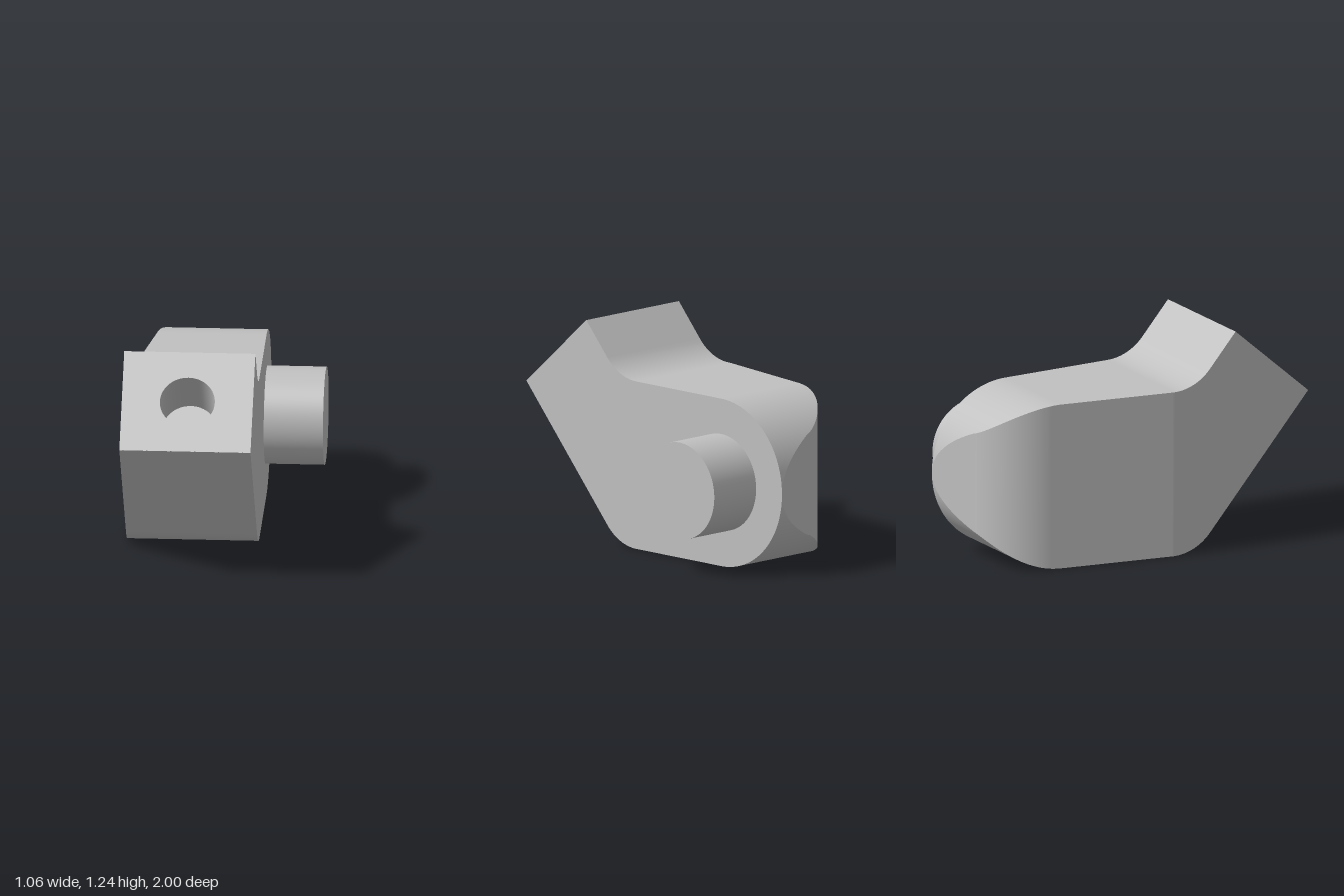
import * as THREE from 'three';

const RIGHT = 0.2, LEFT = -0.53;   // flat side planes of the arm
const R = 0.475, PIVOT_Z = -0.525; // rounded back end
const SLOPE = 1.147, TIP_Z = 0.53; // raised nose

// Rise of the nose along z: flat, fillet, then a straight slope
function rise(z) {
  if (z <= 0.14) return 0;
  if (z < 0.365) return 0.3 - Math.sqrt(0.09 - (z - 0.14) ** 2);
  return SLOPE * (z - 0.276);
}
const roundEnd = z => Math.sqrt(Math.max(0, R * R - Math.min(0, z - PIVOT_Z) ** 2));
const bottom = z => R - roundEnd(z) + rise(z);
const top = z => z > TIP_Z ? 1.24 - (z - TIP_Z) * 0.872 : R + roundEnd(z) + rise(z);

// Left side: straight, taper, rounded corner, then a steep run to the back edge
function left(z) {
  if (z >= 0.13) return LEFT;
  if (z >= -0.584) return LEFT + (0.13 - z) * 0.185;
  if (z >= -0.9) return 0.005 - Math.sqrt(0.41 ** 2 - (z + 0.509) ** 2);
  return RIGHT - (z + 1) * 3.12;
}

// Stations along z, finer around the curves
function stations() {
  const zs = [-0.9, -0.584, 0, 0.12, 0.13, 0.139, 0.366, 0.38, TIP_Z, 1];
  for (let i = 0; i <= 64; i++) zs.push(PIVOT_Z - R * Math.cos(i / 64 * Math.PI / 2));
  for (let i = 0; i <= 16; i++) zs.push(0.14 + 0.225 * i / 16);
  for (let i = 1; i <= 6; i++) zs.push(PIVOT_Z + 0.01 * i);
  return zs.sort((a, b) => a - b);
}

// Ruled strip between two edges, each a function z -> [x, y]
function strip(zs, edgeA, edgeB) {
  const pos = [], index = [];
  zs.forEach((z, i) => {
    pos.push(...edgeA(z), z, ...edgeB(z), z);
    if (i) {
      const a0 = 2 * i - 2, b0 = a0 + 1, a1 = a0 + 2, b1 = a0 + 3;
      index.push(a0, a1, b1, a0, b1, b0);
    }
  });
  const g = new THREE.BufferGeometry();
  g.setAttribute('position', new THREE.Float32BufferAttribute(pos, 3));
  g.setIndex(index);
  g.computeVertexNormals();
  return g;
}

export function createModel() {
  const model = new THREE.Group();
  model.name = 'crankArm';
  const grey = new THREE.MeshStandardMaterial({ color: 0xc0c0c0 });
  grey.name = 'plainGrey';
  const add = (parent, name, geometry) => {
    const mesh = new THREE.Mesh(geometry, grey);
    mesh.name = name;
    parent.add(mesh);
    return mesh;
  };

  // Arm body
  const body = new THREE.Group();
  body.name = 'armBody';
  model.add(body);
  const zs = stations();
  const leftTop = z => [left(z), top(z)], leftBottom = z => [left(z), bottom(z)];
  const rightTop = z => [RIGHT, top(z)], rightBottom = z => [RIGHT, bottom(z)];
  add(body, 'topSurface', strip(zs.filter(z => z <= TIP_Z), leftTop, rightTop));
  add(body, 'bottomSurface', strip(zs, rightBottom, leftBottom));
  add(body, 'pivotSide', strip(zs, rightTop, rightBottom));
  add(body, 'taperedSide', strip(zs, leftBottom, leftTop));

  // Slanted end face with a blind hole
  const end = new THREE.Group();
  end.name = 'slantedEnd';
  end.position.set((LEFT + RIGHT) / 2, 1.035, 0.765);
  end.rotation.x = -Math.atan2(0.47, 0.41);
  model.add(end);
  const w = (RIGHT - LEFT) / 2, h = 0.312, r = 0.153, depth = 0.335;
  const face = new THREE.Shape([
    new THREE.Vector2(-w, -h), new THREE.Vector2(w, -h),
    new THREE.Vector2(w, h), new THREE.Vector2(-w, h)]);
  face.holes.push(new THREE.Path().absarc(0, 0, r, 0, Math.PI * 2, true));
  add(end, 'endFace', new THREE.ShapeGeometry(face, 32));
  add(end, 'holeWall', new THREE.LatheGeometry(
    [new THREE.Vector2(r, 0), new THREE.Vector2(r, -depth)], 64).rotateX(Math.PI / 2));
  add(end, 'holeFloor', new THREE.CircleGeometry(r, 64).translate(0, 0, -depth));

  // Pivot pin
  const pin = add(model, 'pivotPin',
    new THREE.CylinderGeometry(0.273, 0.273, 0.33, 64).rotateZ(-Math.PI / 2));
  pin.position.set(RIGHT + 0.165, 0.477, PIVOT_Z);

  return model;
}
